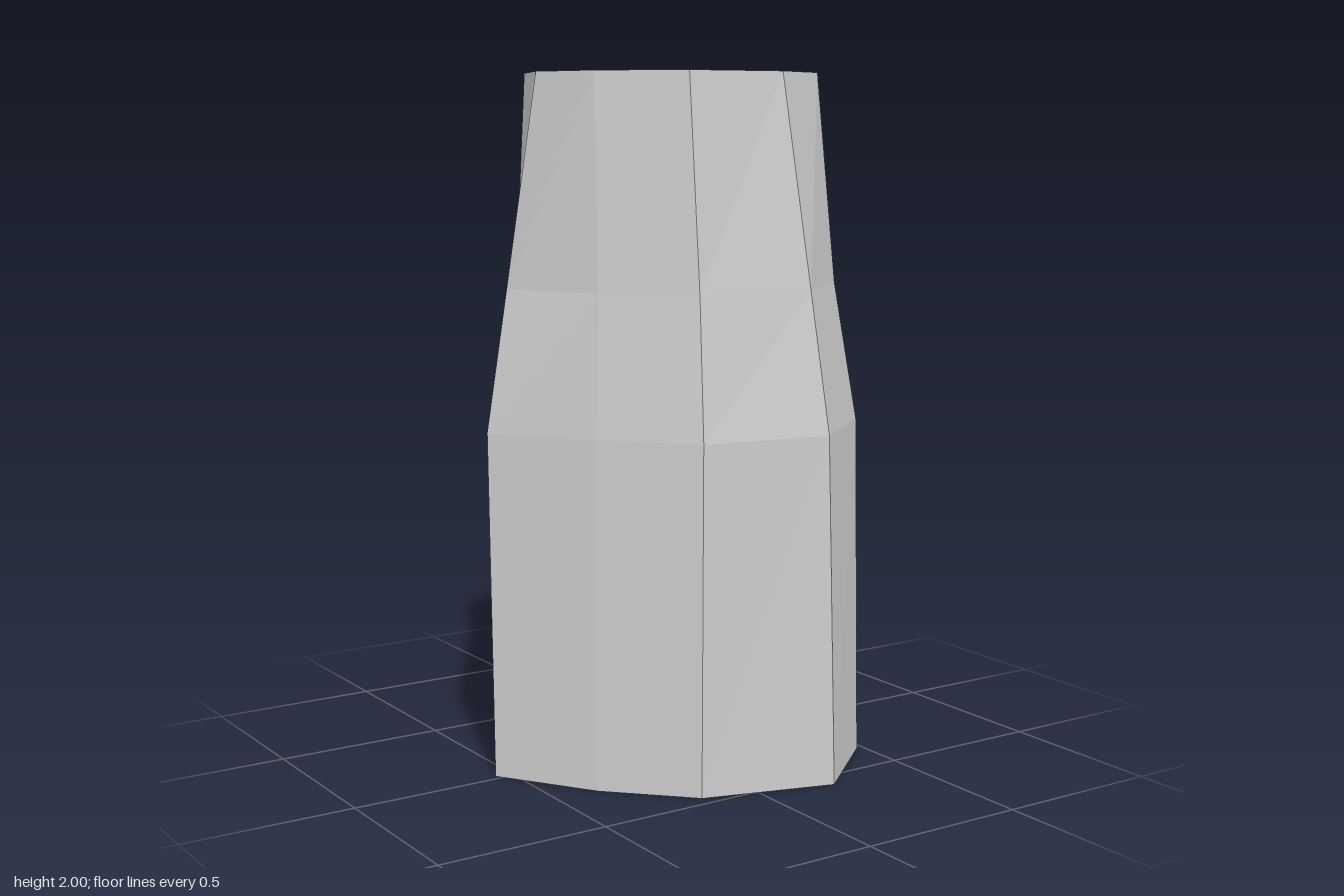
import * as THREE from 'three';

// Each level: height, then ten [x, z] corners running left, back, right, front
const levels = [
  { y: 0, ring: [[-0.55, -0.02], [-0.335, -0.34], [-0.05, -0.48], [0.22, -0.57], [0.55, -0.245],
    [0.56, 0.04], [0.48, 0.35], [0.22, 0.57], [-0.16, 0.46], [-0.37, 0.25]] },
  { y: 1, ring: [[-0.56, -0.025], [-0.33, -0.335], [-0.055, -0.48], [0.21, -0.54], [0.55, -0.265],
    [0.555, 0.035], [0.465, 0.34], [0.21, 0.54], [-0.165, 0.47], [-0.37, 0.25]] },
  { y: 1.4, ring: [[-0.49, -0.03], [-0.30, -0.315], [-0.055, -0.455], [0.17, -0.455], [0.43, -0.215],
    [0.495, 0.02], [0.41, 0.30], [0.19, 0.475], [-0.155, 0.435], [-0.35, 0.23]] },
  { y: 2, ring: [[-0.39, -0.03], [-0.28, -0.29], [-0.06, -0.42], [0.15, -0.435], [0.39, -0.21],
    [0.45, 0.01], [0.37, 0.26], [0.15, 0.39], [-0.16, 0.39], [-0.34, 0.20]] },
];

function makeMesh(name, points, material) {
  const geometry = new THREE.BufferGeometry().setFromPoints(points);
  geometry.computeVertexNormals();
  const mesh = new THREE.Mesh(geometry, material);
  mesh.name = name;
  return mesh;
}

// Faceted wall between two neighbouring levels
function wall(lower, upper) {
  const points = [];
  const n = lower.ring.length;
  const corner = (level, i) => new THREE.Vector3(level.ring[i % n][0], level.y, level.ring[i % n][1]);
  for (let i = 0; i < n; i++) {
    const a = corner(lower, i), b = corner(lower, i + 1);
    const c = corner(upper, i), d = corner(upper, i + 1);
    points.push(b, a, c, b, c, d);
  }
  return points;
}

// Flat fan closing one end
function cap(level, facesUp) {
  const points = [];
  const n = level.ring.length;
  const corner = (i) => new THREE.Vector3(level.ring[i % n][0], level.y, level.ring[i % n][1]);
  for (let i = 0; i < n; i++) {
    const center = new THREE.Vector3(0, level.y, 0);
    if (facesUp) points.push(center, corner(i + 1), corner(i));
    else points.push(center, corner(i), corner(i + 1));
  }
  return points;
}

export function createModel() {
  const stone = new THREE.MeshStandardMaterial({ color: 0xcccccc, flatShading: true });
  stone.name = 'stoneGrey';

  const group = new THREE.Group();
  group.name = 'facetedPillar';

  // Wide base, sloping shoulder and narrow neck
  ['base', 'shoulder', 'neck'].forEach((name, i) => {
    group.add(makeMesh(name, wall(levels[i], levels[i + 1]), stone));
  });

  // Closed ends
  group.add(makeMesh('underside', cap(levels[0], false), stone));
  group.add(makeMesh('topFace', cap(levels[3], true), stone));
  return group;
}
